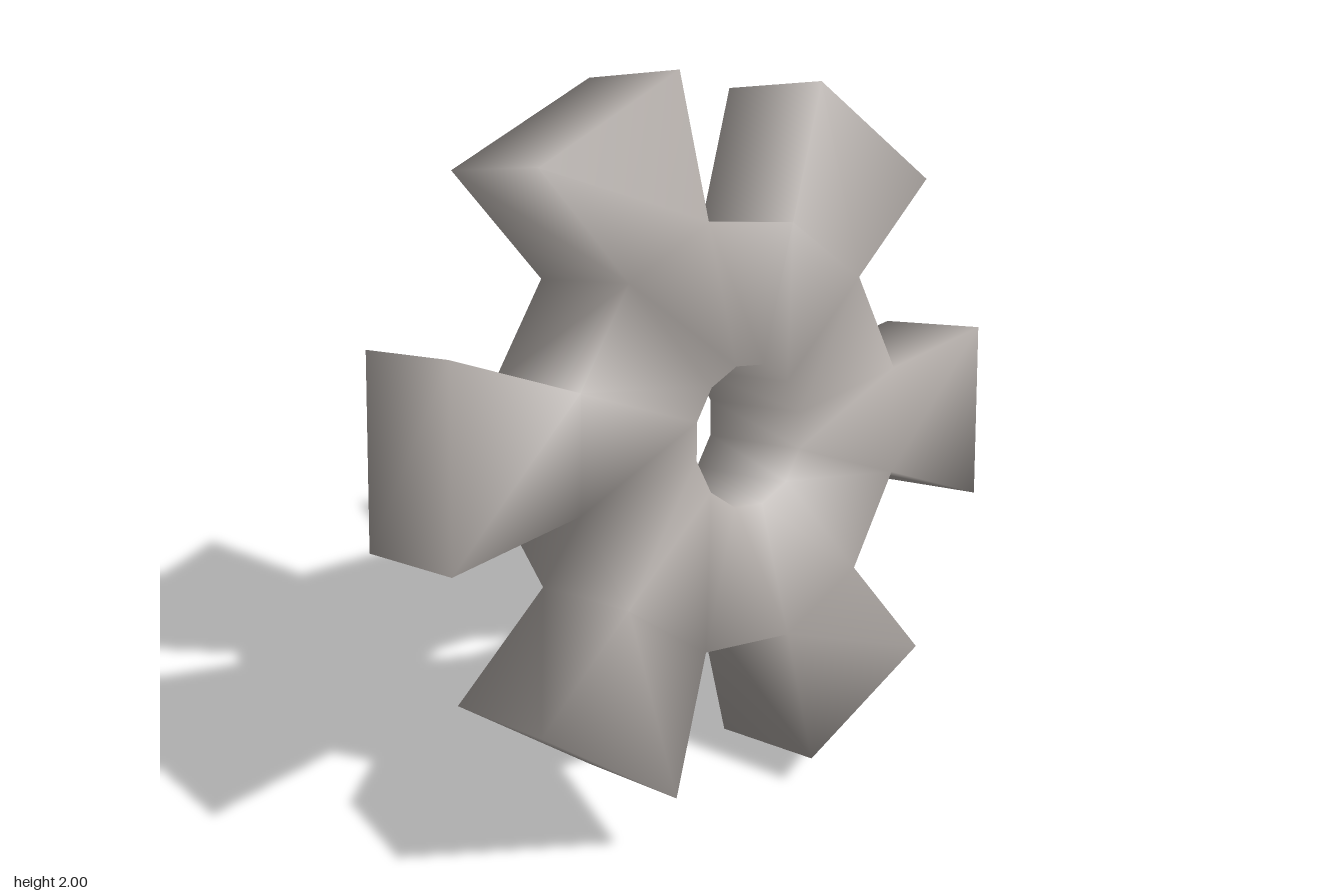
import * as THREE from 'three';

const SIDES = 12;                     // segments around the axis
const RADII = [0.197, 0.591, 0.985];  // bore, root and tip radius
const THICKNESS = 0.37;
const TILT = THREE.MathUtils.degToRad(15.7);

function gearGeometry() {
  const positions = [];
  const index = [];
  // Rings of shared points: front (side 0) and back (side 1) at each radius
  for (let k = 0; k < SIDES; k++) {
    const a = (k / SIDES) * Math.PI * 2;
    for (const r of RADII) {
      for (const z of [THICKNESS / 2, -THICKNESS / 2]) {
        positions.push(r * Math.cos(a), r * Math.sin(a), z);
      }
    }
  }
  const at = (k, ring, side) => (k % SIDES) * 6 + ring * 2 + side;
  const quad = (a, b, c, d) => index.push(a, b, c, a, c, d);

  // Front and back faces of one segment between two neighbouring rings
  const faces = (k, r) => {
    quad(at(k, r, 0), at(k, r + 1, 0), at(k + 1, r + 1, 0), at(k + 1, r, 0));
    quad(at(k, r, 1), at(k + 1, r, 1), at(k + 1, r + 1, 1), at(k, r + 1, 1));
  };
  // Outward-facing rim wall of one segment
  const rim = (k, r) => quad(at(k, r, 0), at(k, r, 1), at(k + 1, r, 1), at(k + 1, r, 0));

  for (let k = 0; k < SIDES; k++) {
    const n = k + 1;
    faces(k, 0);
    quad(at(k, 0, 0), at(n, 0, 0), at(n, 0, 1), at(k, 0, 1)); // bore wall
    if (k % 2 === 0) {
      rim(k, 1); // valley floor
    } else {
      // Tooth: faces, tip and two radial flanks
      faces(k, 1);
      rim(k, 2);
      quad(at(k, 1, 1), at(k, 2, 1), at(k, 2, 0), at(k, 1, 0));
      quad(at(n, 1, 0), at(n, 2, 0), at(n, 2, 1), at(n, 1, 1));
    }
  }

  const geometry = new THREE.BufferGeometry();
  geometry.setAttribute('position', new THREE.Float32BufferAttribute(positions, 3));
  geometry.setIndex(index);
  geometry.computeVertexNormals(); // smooth across every edge
  return geometry;
}

export function createModel() {
  const metal = new THREE.MeshStandardMaterial({ color: 0xb0aaa6 });
  metal.name = 'warm grey metal';

  const gear = new THREE.Mesh(gearGeometry(), metal);
  gear.name = 'gearWheel';
  gear.rotation.x = -TILT; // leans back
  gear.position.y = 1;

  const model = new THREE.Group();
  model.name = 'tiltedGear';
  model.add(gear);
  return model;
}
